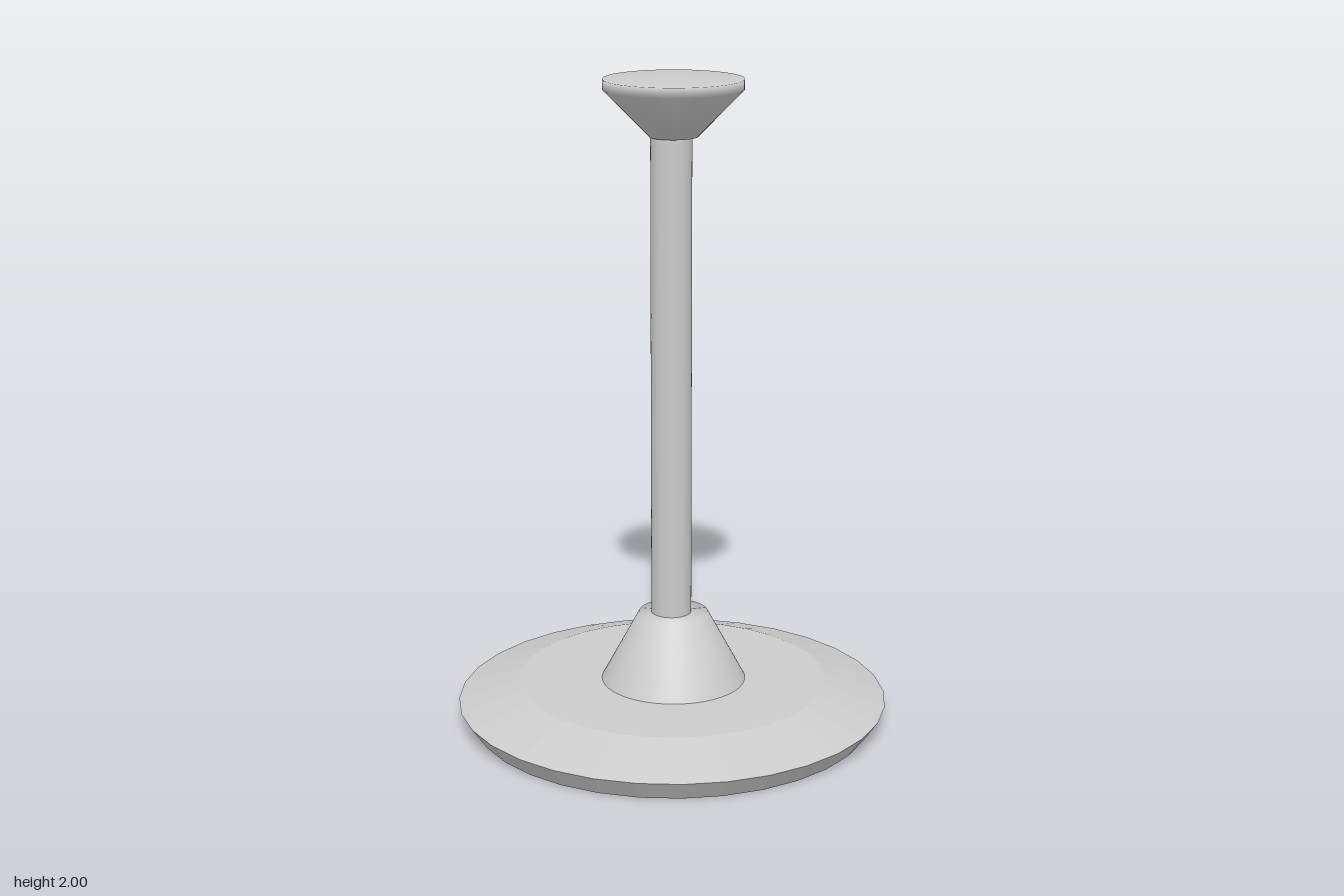
import * as THREE from 'three';

const smooth = new THREE.MeshStandardMaterial({ color: 0xcccccc });
const faceted = new THREE.MeshStandardMaterial({ color: 0xcccccc, flatShading: true });

// Turned part from [radius, y] points, listed bottom to top
function turned(name, points, segments, material, phase = 0) {
  const profile = points.map(([r, y]) => new THREE.Vector2(r, y));
  const mesh = new THREE.Mesh(new THREE.LatheGeometry(profile, segments, phase), material);
  mesh.name = name;
  return mesh;
}

export function createModel() {
  const group = new THREE.Group();
  group.name = 'stand';

  // Faceted foot plate with bevels above and below the rim
  const base = turned('base',
    [[0, 0], [0.623, 0], [0.668, 0.065], [0.478, 0.127], [0, 0.127]],
    32, faceted, THREE.MathUtils.degToRad(7));

  // Tapered collar that holds the pole
  const collar = turned('collar',
    [[0.225, 0.125], [0.107, 0.345], [0, 0.345]], 64, smooth);
  collar.position.set(0.005, 0, 0.002);

  // Slim pole
  const pole = new THREE.Mesh(new THREE.CylinderGeometry(0.062, 0.062, 1.5, 48), smooth);
  pole.name = 'pole';
  pole.position.set(-0.002, 1.09, 0.002);

  // Flared head with a short lip; its soft normals run on over the flat top
  const head = turned('head',
    [[0, 1.83], [0.073, 1.83], [0.209, 1.97], [0.209, 2], [0, 2]], 64, smooth);
  head.position.set(0.005, 0, 0.002);

  group.add(base, collar, pole, head);
  return group;
}
